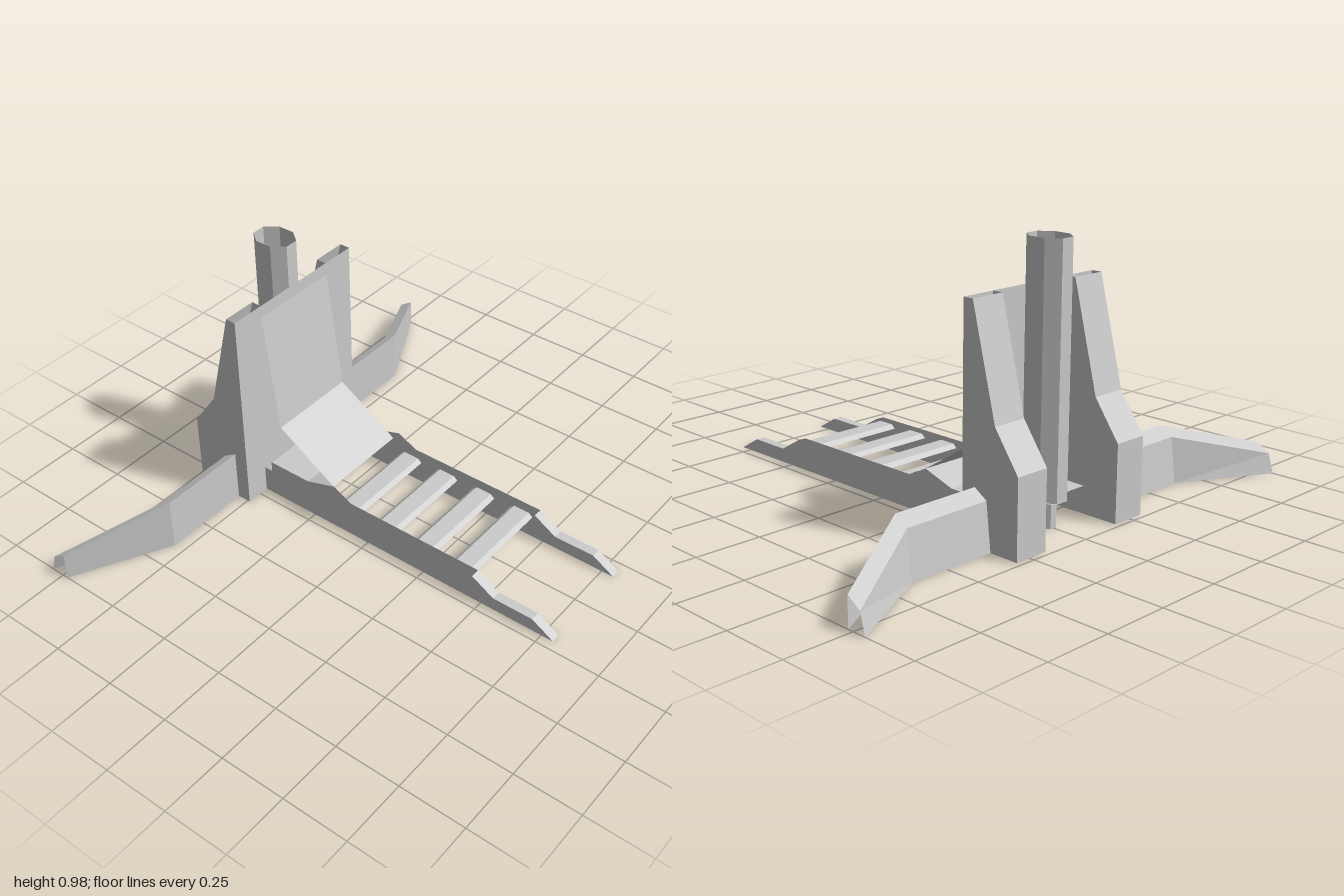
import * as THREE from 'three';

const material = new THREE.MeshStandardMaterial({ color: 0xcccccc, flatShading: true, side: THREE.DoubleSide });

function addMesh(parent, name, geometry) {
  const mesh = new THREE.Mesh(geometry, material);
  mesh.name = name;
  parent.add(mesh);
  return mesh;
}

// Skin between successive open cross-sections of [x, y, z] points
function loft(sections) {
  const n = sections[0].length;
  const index = [];
  for (let s = 0; s < sections.length - 1; s++) {
    for (let i = 0; i < n - 1; i++) {
      const a = s * n + i, b = a + n;
      index.push(a, b, a + 1, a + 1, b, b + 1);
    }
  }
  const geometry = new THREE.BufferGeometry();
  geometry.setAttribute('position', new THREE.Float32BufferAttribute(sections.flat(2), 3));
  geometry.setIndex(index);
  const flat = geometry.toNonIndexed();
  flat.computeVertexNormals();
  return flat;
}

// Sheet following an x-y profile from z0 to z1
const sheet = (profile, z0, z1) => loft([z0, z1].map(z => profile.map(([x, y]) => [x, y, z])));

// Flat plate of the given x-y outline at depth z
function plate(outline, z) {
  const shape = new THREE.Shape(outline.map(p => new THREE.Vector2(...p)));
  return new THREE.ShapeGeometry(shape).translate(0, 0, z);
}

// Pillar, wing and rail of one side
function createSide(name) {
  const side = new THREE.Group();
  side.name = name;

  // Hollow pillar, open at top and bottom
  const back = [[-0.73, 0], [-0.73, 0.28], [-0.63, 0.42], [-0.53, 0.81]];
  const front = [[-0.49, 0.81], [-0.49, 0]];
  const pillar = new THREE.Group();
  pillar.name = 'pillar';
  side.add(pillar);
  addMesh(pillar, 'pillarBack', sheet(back, 0.175, 0.308));
  addMesh(pillar, 'pillarFront', sheet(front, 0.175, 0.308));
  for (const z of [0.175, 0.308]) addMesh(pillar, 'pillarCheek', plate([...back, ...front], z));

  // Swept wing, open below and at the tip
  const wingSection = (x, h, z) => [[x, 0, z], [x, h, z], [x - 0.052, h - 0.033, z], [x - 0.072, 0, z]];
  addMesh(side, 'wing', loft([
    wingSection(-0.545, 0.203, 0.308),
    wingSection(-0.545, 0.203, 0.65),
    wingSection(-0.728, 0.105, 1),
  ]));

  // Ladder rail of two cheeks, covered only at the sloping tip
  const tip = [[0.46, 0.105], [0.55, 0.052], [0.71, 0.052], [0.797, 0]];
  const railOutline = [[-0.49, 0], [-0.49, 0.105], [-0.31, 0.105], [-0.185, 0.145], [-0.105, 0.105], ...tip];
  const rail = new THREE.Group();
  rail.name = 'rail';
  side.add(rail);
  for (const z of [0.177, 0.213]) addMesh(rail, 'railCheek', plate(railOutline, z));
  addMesh(rail, 'railTipCover', sheet(tip, 0.177, 0.213));
  return side;
}

// Stretched eight-sided tube, flats facing along x and z
function tube(rx, rz, y0, y1) {
  const geometry = new THREE.CylinderGeometry(1, 1, y1 - y0, 8, 1, true, Math.PI / 8);
  const k = 1 / Math.cos(Math.PI / 8);
  return geometry.scale(rx * k, 1, rz * k).translate(-0.568, (y0 + y1) / 2, 0);
}

export function createModel() {
  const model = new THREE.Group();
  model.name = 'standWithLadder';

  const left = createSide('frontSide');
  const right = createSide('backSide');
  right.scale.z = -1;
  model.add(left, right);

  // Wall between the pillars, bent panel in front of it and floor below
  addMesh(model, 'wall', sheet([[-0.49, 0.1], [-0.49, 0.81]], -0.175, 0.175));
  addMesh(model, 'bentPanel', sheet([[-0.49, 0.76], [-0.43, 0.3], [-0.185, 0.145]], -0.177, 0.177));
  addMesh(model, 'floor', sheet([[-0.59, 0.1], [-0.31, 0.104], [-0.185, 0.145]], -0.177, 0.177));

  // Post open at the top, narrower foot below it
  addMesh(model, 'post', tube(0.077, 0.061, 0.1, 0.977));
  addMesh(model, 'foot', tube(0.042, 0.033, 0, 0.1));
  const base = new THREE.CircleGeometry(1, 8, Math.PI / 8).rotateX(-Math.PI / 2);
  const k = 1 / Math.cos(Math.PI / 8);
  addMesh(model, 'postBase', base.scale(0.077 * k, 1, 0.061 * k).translate(-0.568, 0.098, 0));

  // Rungs with bevelled edges
  for (let i = 0; i < 4; i++) {
    const x = -0.147 + i * 0.167;
    const profile = [[x, 0.09], [x + 0.016, 0.104], [x + 0.08, 0.104], [x + 0.096, 0.09]];
    addMesh(model, 'rung', sheet(profile, -0.177, 0.177));
  }
  return model;
}
